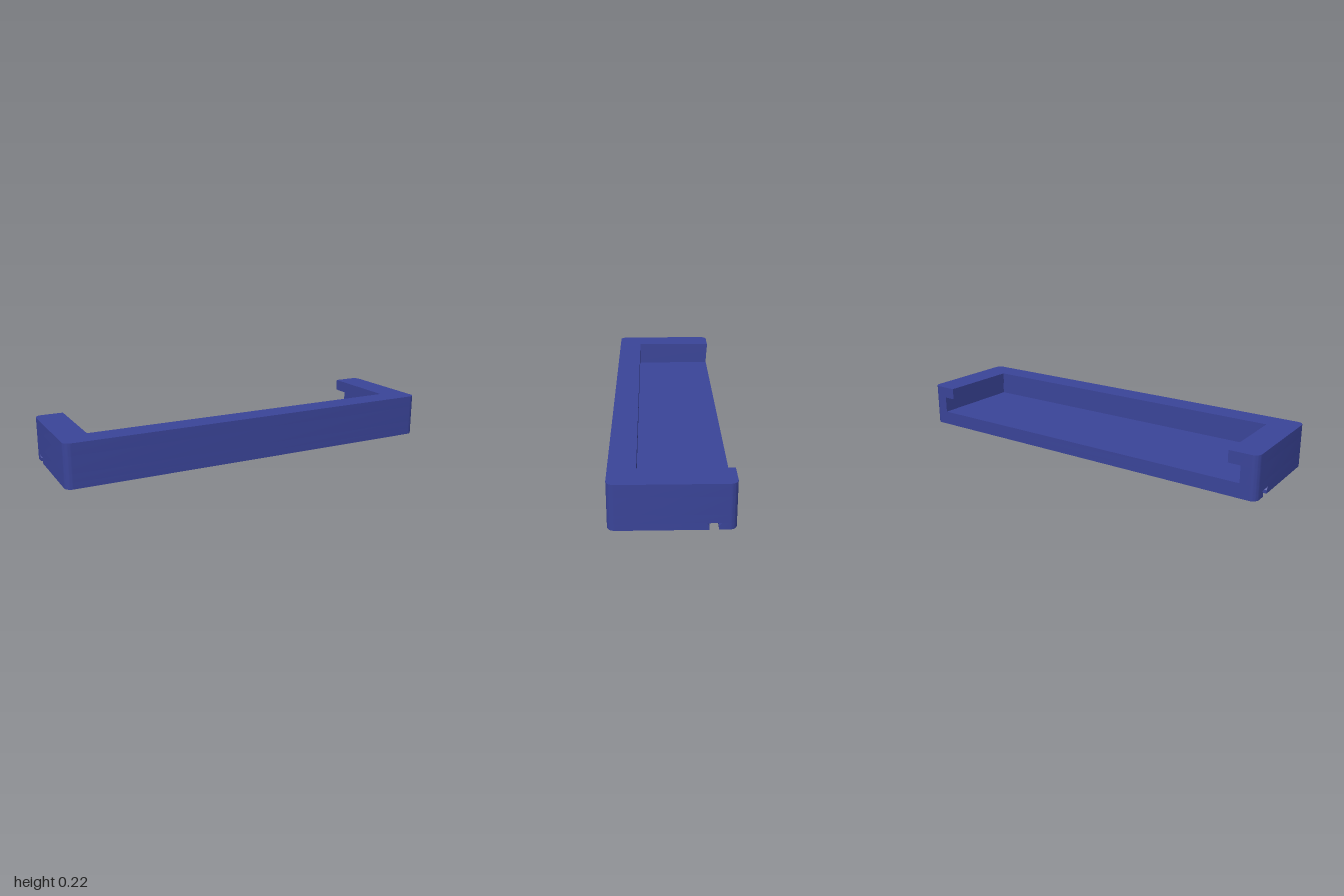
import * as THREE from 'three';
import { mergeGeometries, toCreasedNormals } from 'three/addons/utils/BufferGeometryUtils.js';

const W = 1, D = 0.275, R = 0.035;              // half width, half depth, corner radius
const FLOOR = 0.073, LIP = 0.158, TOP = 0.218;  // heights
const SLOT_Z = -0.177, SLOT_X = 0.45;           // underside slots: centre line, centre of round end
const NECK = 0.02, FLARE = 0.031, NECK_Y = 0.017, SLOT_Y = 0.032;
const UNDER = [0.917, 0.213], MOUTH = [0.855, 0.15]; // cavity half width and front edge

const V = (x, z) => new THREE.Vector2(x, z);

function arc(cx, cz, r, from, to, n) {
  return Array.from({ length: n + 1 }, (_, i) => {
    const a = THREE.MathUtils.degToRad(from + (to - from) * i / n);
    return V(cx + r * Math.cos(a), cz + r * Math.sin(a));
  });
}

const corner = (sx, sz, from) => arc(sx * (W - R), sz * (D - R), R, from, from + 90, 8);

// Slot plan on the +x end, and its mirror on the -x end
const slot = (w) => [V(W, SLOT_Z - w), ...arc(SLOT_X, SLOT_Z, w, -90, -270, 12), V(W, SLOT_Z + w)];
const mirrored = (pts) => pts.map((p) => V(-p.x, p.y)).reverse();

// Rounded rectangle, optionally cut by the slots or by the cavity open to the back
function outline({ slotWidth, cavity } = {}) {
  const s = slotWidth ? slot(slotWidth) : [];
  const c = cavity ? cavityPlan(cavity) : [];
  return [...corner(1, -1, -90), ...s, ...corner(1, 1, 0), ...corner(-1, 1, 90),
    ...mirrored(s), ...corner(-1, -1, 180), ...c];
}

function cavityPlan([x, z]) {
  return [V(-x, -D), V(-x, z), V(x, z), V(x, -D)];
}

// Walls joining outlines of equal point count at rising heights
function walls(...rings) {
  const pos = [];
  for (let k = 0; k < rings.length - 1; k++) {
    const [y0, lo] = rings[k], [y1, hi] = rings[k + 1];
    lo.forEach((a, i) => {
      const j = (i + 1) % lo.length, b = lo[j], c = hi[i], d = hi[j];
      pos.push(a.x, y0, a.y, c.x, y1, c.y, b.x, y0, b.y);
      pos.push(b.x, y0, b.y, c.x, y1, c.y, d.x, y1, d.y);
    });
  }
  const g = new THREE.BufferGeometry();
  g.setAttribute('position', new THREE.Float32BufferAttribute(pos, 3));
  return g;
}

// Flat horizontal face looking up or down
function cap(pts, y, up) {
  const s = up ? -1 : 1;
  const g = new THREE.ShapeGeometry(new THREE.Shape(pts.map((p) => V(p.x, s * p.y))));
  g.rotateX(s * Math.PI / 2).translate(0, y, 0);
  const flat = g.toNonIndexed();
  flat.deleteAttribute('uv');
  flat.deleteAttribute('normal');
  return flat;
}

export function createModel() {
  const group = new THREE.Group();
  const material = new THREE.MeshStandardMaterial({ color: 0x3a4498 });
  const add = (name, ...parts) => {
    const mesh = new THREE.Mesh(toCreasedNormals(mergeGeometries(parts), 0.5), material);
    mesh.name = name;
    group.add(mesh);
  };

  // Base plate with a flared, round-ended slot entering from each end
  const neck = outline({ slotWidth: NECK });
  add('slottedBase',
    cap(neck, 0, false),
    walls([0, neck], [NECK_Y, neck], [SLOT_Y, outline({ slotWidth: FLARE })]),
    cap(slot(FLARE), SLOT_Y, false),
    cap(mirrored(slot(FLARE)), SLOT_Y, false));

  // Tray floor
  const full = outline();
  add('trayFloor',
    walls([SLOT_Y, full], [FLOOR, full]),
    cap(cavityPlan(UNDER), FLOOR, true));

  // U-shaped side walls, open at the back
  const u = outline({ cavity: UNDER });
  add('sideWalls', walls([FLOOR, u], [LIP, u]));

  // Overhanging lip
  const lip = outline({ cavity: MOUTH });
  add('overhangingLip',
    cap([...cavityPlan(UNDER), ...cavityPlan(MOUTH).reverse()], LIP, false),
    walls([LIP, lip], [TOP, lip]),
    cap(lip, TOP, true));

  return group;
}
